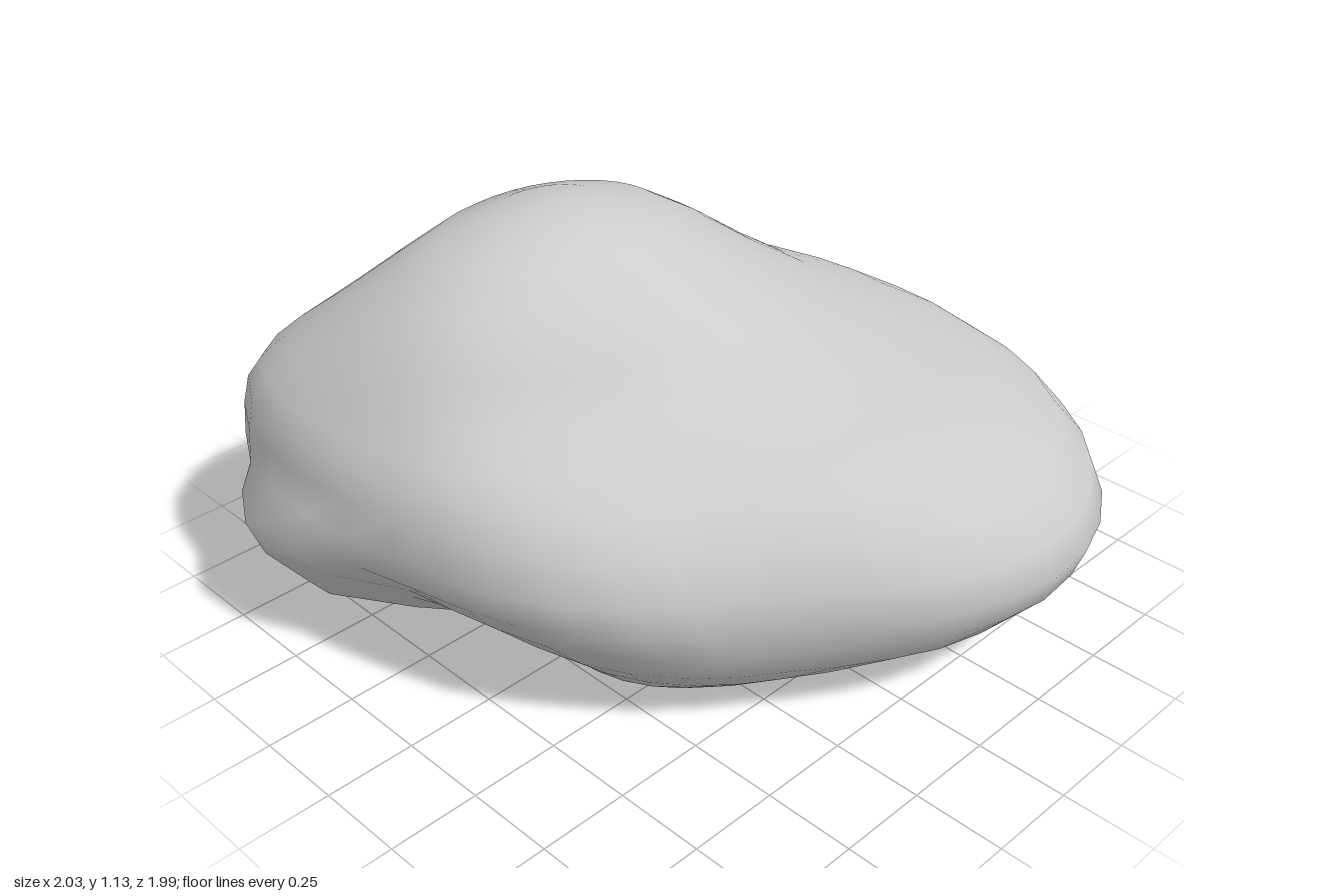
import * as THREE from 'three';
import { mergeVertices } from 'three/addons/utils/BufferGeometryUtils.js';

const SIDES = 40;

// Plan outline at the widest height (x, z), clockwise from the back
const OUTLINE = [
  [0.17, -0.965], [0.57, -0.89], [0.87, -0.65], [1, -0.33], [0.94, 0],
  [0.76, 0.27], [0.62, 0.44], [0.51, 0.6], [0.35, 0.75], [0.17, 0.85],
  [-0.33, 0.96], [-0.67, 0.94], [-0.84, 0.87], [-0.95, 0.75], [-1, 0.6],
  [-0.98, 0.41], [-0.92, 0.27], [-0.79, -0.33], [-0.58, -0.63], [-0.25, -0.87],
];

// Slices: y, xMin, xMax, zMin, zMax, outline strength (0 = ellipse), reach of the corner lobe
const SLICES = [
  [0, 0.17, 0.17, 0.05, 0.05, 0, 0],
  [0.02, -0.07, 0.38, -0.48, 0.43, 0.3, 0],
  [0.055, -0.3, 0.59, -0.62, 0.54, 0.4, 0],
  [0.09, -0.43, 0.69, -0.71, 0.58, 0.5, 0.93],
  [0.125, -0.54, 0.77, -0.78, 0.63, 0.6, 1.06],
  [0.2, -0.72, 0.89, -0.87, 0.73, 0.75, 1.14],
  [0.29, -0.88, 0.97, -0.94, 0.84, 0.9, 1.19],
  [0.38, -0.98, 1, -0.965, 0.93, 1, 1.21],
  [0.47, -1, 0.97, -0.945, 0.96, 1, 0],
  [0.57, -0.985, 0.89, -0.88, 0.95, 1, 0],
  [0.65, -0.96, 0.76, -0.79, 0.93, 1, 0],
  [0.71, -0.92, 0.58, -0.69, 0.9, 0.95, 0],
  [0.78, -0.86, 0.33, -0.53, 0.86, 0.75, 0],
  [0.88, -0.75, 0.2, -0.38, 0.79, 0.5, 0],
  [0.99, -0.63, 0.07, -0.23, 0.67, 0.3, 0],
  [1.07, -0.54, -0.05, -0.1, 0.53, 0.2, 0],
  [1.12, -0.42, -0.17, 0.07, 0.38, 0, 0],
  [1.135, -0.3, -0.3, 0.22, 0.22, 0, 0],
];
const LOBE_ANGLE = Math.atan2(0.87, -0.84);

function stoneGeometry() {
  const curve = new THREE.CatmullRomCurve3(
    OUTLINE.map(([x, z]) => new THREE.Vector3(x, 0, z / 0.965)), true);
  const ring = curve.getSpacedPoints(SIDES).slice(0, SIDES);
  const positions = [];
  const index = [];

  SLICES.forEach(([y, x0, x1, z0, z1, strength, reach], row) => {
    ring.forEach((point, i) => {
      // Fit the outline, softened toward an ellipse, into the slice's extent
      const p = point.clone().normalize().lerp(point, strength);
      let x = (x0 + x1) / 2 + p.x * (x1 - x0) / 2;
      let z = (z0 + z1) / 2 + p.z * (z1 - z0) / 2;

      // Pull the front corner out into an overhanging lobe
      const r = Math.hypot(x, z);
      if (reach > r) {
        const turn = Math.atan2(z, x) - LOBE_ANGLE;
        const off = Math.atan2(Math.sin(turn), Math.cos(turn));
        const scale = 1 + (reach / r - 1) * Math.exp(-Math.pow(off / 0.38, 4));
        x *= scale;
        z *= scale;
      }
      positions.push(x, y, z);

      if (row < SLICES.length - 1) {
        const a = row * SIDES + i;
        const b = row * SIDES + (i + 1) % SIDES;
        index.push(a, a + SIDES, b, b, a + SIDES, b + SIDES);
      }
    });
  });

  let geometry = new THREE.BufferGeometry();
  geometry.setAttribute('position', new THREE.Float32BufferAttribute(positions, 3));
  geometry.setIndex(index);
  geometry = mergeVertices(geometry, 1e-4);
  geometry.computeVertexNormals();
  return geometry;
}

export function createModel() {
  const group = new THREE.Group();
  group.name = 'boulder';
  const stone = new THREE.Mesh(
    stoneGeometry(), new THREE.MeshStandardMaterial({ color: 0xcccccc }));
  stone.name = 'stone';
  group.add(stone);
  return group;
}
